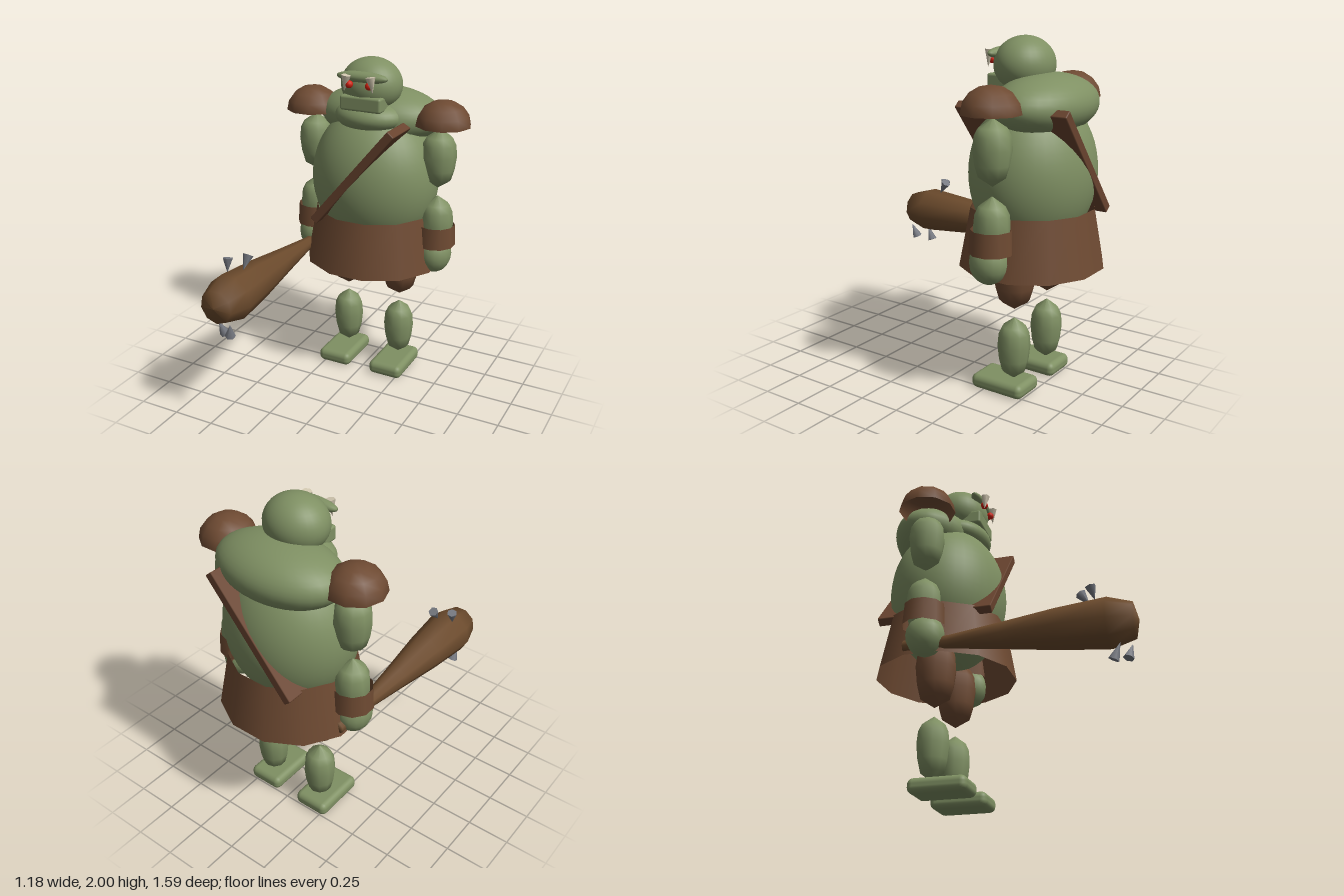
import * as THREE from 'three';
import { RoundedBoxGeometry } from 'three/addons/geometries/RoundedBoxGeometry.js';

const mat = (color, side = THREE.FrontSide) => new THREE.MeshStandardMaterial({ color, side });

export function createModel() {
  const model = new THREE.Group();
  const skin = mat(0x7f9063);
  const leather = mat(0x6e4a32, THREE.DoubleSide);
  const strapMat = mat(0x68432e);
  const wood = mat(0x6b4a2c);
  const metal = mat(0x777a82);
  const red = mat(0xd02010);
  const ivory = mat(0xd2c8b0);

  const add = (name, geo, material, x, y, z) => {
    const m = new THREE.Mesh(geo, material);
    m.name = name;
    m.position.set(x, y, z);
    model.add(m);
    return m;
  };
  const blob = (name, material, p, r, seg = 32) =>
    add(name, new THREE.SphereGeometry(1, seg, Math.round(seg * 0.65)).scale(...r), material, ...p);
  const lathe = (pts, seg) =>
    new THREE.LatheGeometry(pts.map(([r, y]) => new THREE.Vector2(r, y)), seg);
  // Faceted limb with pointed ends
  const limb = (bottom, top, r) => {
    const h = top - bottom;
    return lathe([[0, 0], [0.72, 0.14], [0.9, 0.32], [1, 0.55], [0.93, 0.74], [0.72, 0.86], [0, 1]]
      .map(([a, b]) => [a * r, b * h]), 10);
  };

  // Trunk
  blob('belly', skin, [0, 1.26, -0.4], [0.395, 0.45, 0.345], 40);
  blob('upperBack', skin, [0, 1.64, -0.475], [0.39, 0.17, 0.25]);
  blob('neck', skin, [0, 1.66, -0.33], [0.22, 0.1, 0.18]);

  // Head
  blob('head', skin, [0, 1.842, -0.335], [0.185, 0.158, 0.166]);
  blob('brow', skin, [0, 1.905, -0.205], [0.163, 0.034, 0.042], 20);
  add('jaw', new RoundedBoxGeometry(0.26, 0.088, 0.16, 2, 0.015), skin, 0, 1.754, -0.25);

  // Kilt: open twelve-sided skirt
  const kilt = new THREE.CylinderGeometry(0.348, 0.41, 0.335, 12, 1, true);
  kilt.rotateY(Math.PI / 12).scale(1.055, 1, 1);
  add('kilt', kilt, leather, 0, 0.9025, -0.4);

  // Diagonal strap around the body
  const strap = add('strap', new RoundedBoxGeometry(0.78, 0.052, 0.69, 1, 0.006), strapMat, 0, 1.337, -0.4);
  strap.rotation.z = 0.877;

  // Paired parts
  for (const [side, s] of [['left', 1], ['right', -1]]) {
    blob(side + 'Eye', red, [s * 0.063, 1.867, -0.165], [0.023, 0.023, 0.023], 12);
    const tusk = add(side + 'Tusk', new THREE.ConeGeometry(0.029, 0.095, 6), ivory, s * 0.083, 1.873, -0.155);
    tusk.rotation.z = Math.PI + s * 0.15;

    const dome = new THREE.SphereGeometry(1, 10, 4, 0, Math.PI * 2, 0, Math.PI / 2).scale(0.165, 0.148, 0.165);
    add(side + 'ShoulderPad', dome, leather, s * 0.427, 1.632, -0.4);

    add(side + 'UpperArm', limb(1.25, 1.61, 0.105), skin, s * 0.41, 1.25, -0.4);
    add(side + 'Forearm', limb(0.82, 1.2, 0.1), skin, s * 0.412, 0.82, -0.4);
    add(side + 'Cuff', new THREE.CylinderGeometry(0.114, 0.122, 0.13, 10, 1, true), leather, s * 0.41, 0.957, -0.395);
    blob(side + 'Hand', skin, [s * 0.415, 0.835, -0.383], [0.1, 0.12, 0.11], 16);

    add(side + 'Thigh', limb(0.5, 0.92, 0.12), leather, s * 0.18, 0.5, -0.4);
    add(side + 'Shin', limb(0.08, 0.45, 0.094), skin, s * 0.18, 0.08, -0.4);
    add(side + 'Foot', new RoundedBoxGeometry(0.22, 0.085, 0.335, 3, 0.035), skin, s * 0.18, 0.0425, -0.34);
  }

  // Club pointing forward from the right hand
  const clubProfile = [[0, -0.51], [0.035, -0.51], [0.038, -0.25], [0.075, 0.05], [0.115, 0.35],
    [0.141, 0.63], [0.1, 0.765], [0, 0.79]];
  add('club', lathe(clubProfile, 9).rotateX(Math.PI / 2), wood, -0.4, 0.79, 0);

  // Spikes, each given by its wide outer end and its tip in the wood
  const up = new THREE.Vector3(0, 1, 0);
  for (const [base, tip] of [
    [[-0.455, 0.99, 0.55], [-0.45, 0.91, 0.57]],
    [[-0.365, 1.0, 0.48], [-0.37, 0.925, 0.53]],
    [[-0.432, 0.57, 0.65], [-0.44, 0.66, 0.69]],
    [[-0.35, 0.605, 0.715], [-0.33, 0.69, 0.74]],
  ]) {
    const a = new THREE.Vector3(...base), b = new THREE.Vector3(...tip);
    const dir = b.clone().sub(a);
    const mid = a.clone().add(b).multiplyScalar(0.5);
    const spike = add('clubSpike', new THREE.ConeGeometry(0.031, dir.length(), 6), metal, mid.x, mid.y, mid.z);
    spike.quaternion.setFromUnitVectors(up, dir.normalize());
  }
  return model;
}
